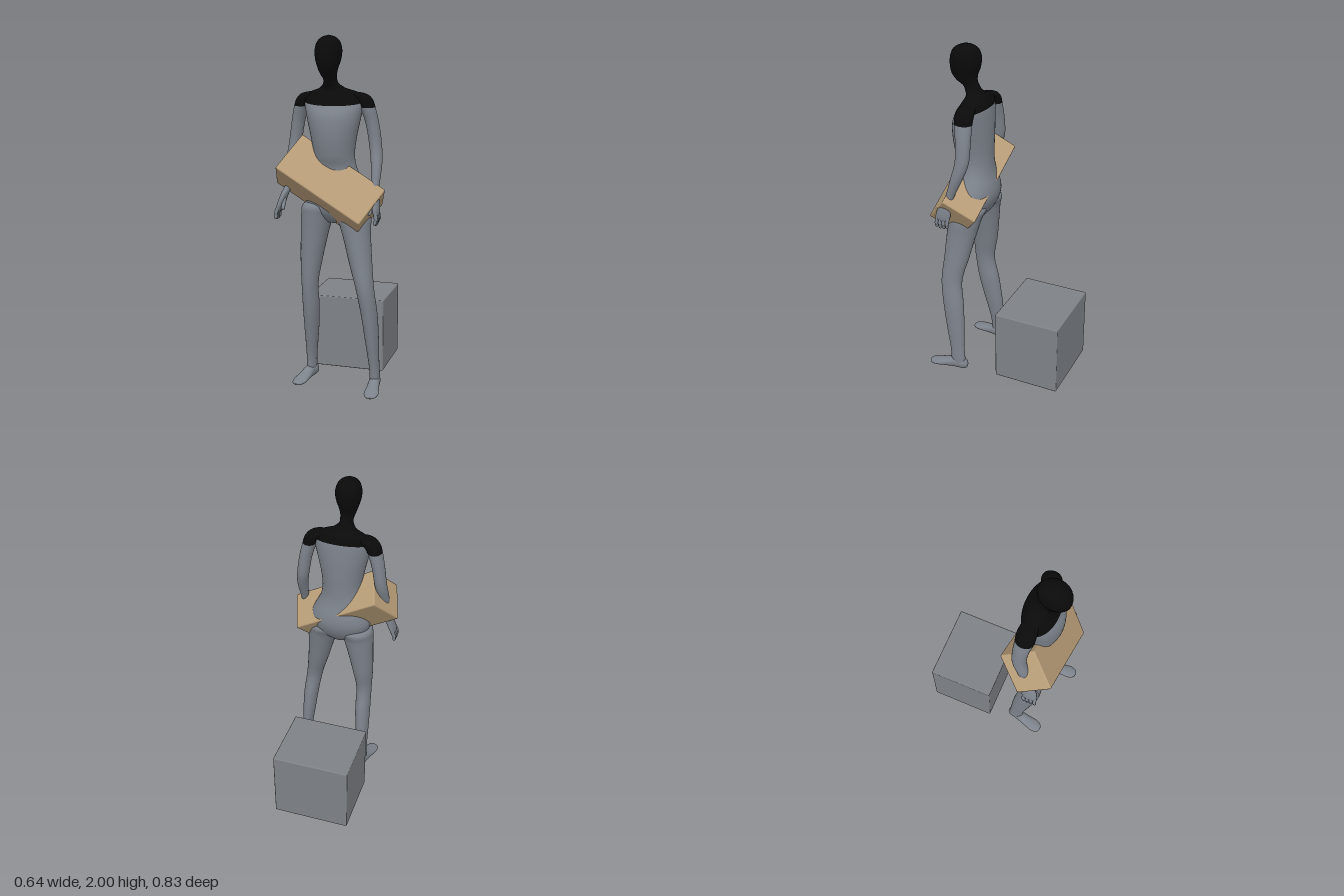
import * as THREE from 'three';
import { RoundedBoxGeometry } from 'three/addons/geometries/RoundedBoxGeometry.js';

const mat = (name, color) => {
  const m = new THREE.MeshStandardMaterial({ color });
  m.name = name;
  return m;
};

// Smooth loft through elliptical sections [x, y, z, rx, rz], listed top to bottom.
function loft(sections, from = 0, to = sections.length - 1, warp = null, seg = 28, sub = 6) {
  const spline = (pts) => new THREE.CatmullRomCurve3(pts, false, 'catmullrom', 0.5);
  const centre = spline(sections.map((s) => new THREE.Vector3(s[0], s[1], s[2])));
  const radii = spline(sections.map((s) => new THREE.Vector3(s[3], s[4], 0)));
  const pos = [], idx = [], rows = (to - from) * sub;
  for (let i = 0; i <= rows; i++) {
    const t = Math.min(1, (from + i / sub) / (sections.length - 1));
    const c = centre.getPoint(t), r = radii.getPoint(t);
    for (let j = 0; j < seg; j++) {
      const a = (j / seg) * Math.PI * 2;
      const p = new THREE.Vector3(
        c.x + Math.max(r.x, 0.0005) * Math.cos(a), c.y, c.z + Math.max(r.y, 0.0005) * Math.sin(a));
      if (warp) warp(p, c);
      pos.push(p.x, p.y, p.z);
      if (i < rows) {
        const p0 = i * seg + j, p1 = i * seg + (j + 1) % seg;
        idx.push(p0, p1, p0 + seg, p1, p1 + seg, p0 + seg);
      }
    }
  }
  const g = new THREE.BufferGeometry();
  g.setAttribute('position', new THREE.Float32BufferAttribute(pos, 3));
  g.setIndex(idx);
  g.computeVertexNormals();
  return g;
}

export function createModel() {
  const model = new THREE.Group();
  const grey = mat('bodyGrey', 0x7d838c);
  const black = mat('hoodBlack', 0x0a0a0a);
  const tan = mat('boxTan', 0xb89d78);
  const stone = mat('cubeGrey', 0x7e8287);

  const add = (name, geo, material, parent = model) => {
    const m = new THREE.Mesh(geo, material);
    m.name = name;
    parent.add(m);
    return m;
  };
  const capsule = (name, a, b, r, parent) => {
    const p = new THREE.Vector3(...a), q = new THREE.Vector3(...b), d = q.clone().sub(p);
    const m = add(name, new THREE.CapsuleGeometry(r, d.length(), 4, 10), grey, parent);
    m.position.copy(p).add(q).multiplyScalar(0.5);
    m.quaternion.setFromUnitVectors(new THREE.Vector3(0, 1, 0), d.normalize());
  };

  // Cube standing behind the figure
  add('cube', new RoundedBoxGeometry(0.462, 0.44, 0.4, 2, 0.007), stone).position.set(0.016, 0.23, -0.22);

  // Tilted box around the hips
  const box = add('tiltedBox', new RoundedBoxGeometry(0.563, 0.252, 0.218, 2, 0.008), tan);
  const u = new THREE.Vector3(0.485, -0.285, 0.03).normalize();
  const w = new THREE.Vector3(-0.06, -0.115, -0.175);
  w.addScaledVector(u, -w.dot(u)).normalize();
  const v = w.clone().cross(u);
  box.quaternion.setFromRotationMatrix(new THREE.Matrix4().makeBasis(u, v, w));
  box.position.set(-0.0025, 1.17, 0.2375);

  // Head, neck and torso; the colour border sits on section 11 and rises to the back
  const trunk = [
    [0, 2.0, 0.255, 0.001, 0.001],
    [0, 1.99, 0.257, 0.034, 0.042],
    [0, 1.965, 0.26, 0.061, 0.077],
    [0, 1.92, 0.263, 0.073, 0.092],
    [0, 1.87, 0.268, 0.068, 0.09],
    [0, 1.825, 0.272, 0.054, 0.078],
    [0, 1.79, 0.26, 0.043, 0.064],
    [0, 1.765, 0.235, 0.037, 0.051],
    [0, 1.74, 0.22, 0.042, 0.05],
    [0.004, 1.712, 0.2, 0.075, 0.056],
    [0.012, 1.685, 0.195, 0.145, 0.07],
    [0.014, 1.64, 0.204, 0.168, 0.096],
    [0.015, 1.55, 0.214, 0.152, 0.114],
    [0.015, 1.45, 0.215, 0.13, 0.116],
    [0.015, 1.35, 0.208, 0.116, 0.108],
    [0.015, 1.27, 0.194, 0.126, 0.1],
    [0.02, 1.17, 0.19, 0.168, 0.12],
    [0.02, 1.1, 0.195, 0.18, 0.122],
    [0.02, 1.03, 0.205, 0.15, 0.1],
    [0.02, 0.97, 0.21, 0.05, 0.05],
    [0.02, 0.96, 0.21, 0.001, 0.001],
  ];
  const tilt = (p, c) => { p.y += 0.2 * (c.z - p.z) * Math.exp(-(((c.y - 1.64) / 0.05) ** 2)); };
  add('headAndShoulders', loft(trunk, 0, 11, tilt, 40), black);
  add('torso', loft(trunk, 11, trunk.length - 1, tilt, 40), grey);

  // Arms and hands; side 1 is the left, -1 the right
  for (const side of [1, -1]) {
    const name = side > 0 ? 'left' : 'right';
    const lean = side > 0 ? 0 : 0.035, back = side > 0 ? 0 : -0.02;
    const X = (x) => (side > 0 ? x : 0.02 - x);
    const hx = (y, x) => X(x + lean * Math.max(0, (1.18 - y) / 0.18));
    const arm = [
      [0.1, 1.698, 0.19, 0.002, 0.002],
      [0.145, 1.683, 0.188, 0.045, 0.045],
      [0.18, 1.652, 0.186, 0.047, 0.054],
      [0.2, 1.61, 0.185, 0.042, 0.053],
      [0.225, 1.52, 0.176, 0.037, 0.045],
      [0.244, 1.4, 0.176, 0.035, 0.041],
      [0.257, 1.3, 0.205, 0.031, 0.036],
      [0.262, 1.18, 0.25 + back, 0.022, 0.026],
      [0.27, 1.12, 0.275 + back, 0.021, 0.038],
      [0.278, 1.06, 0.288 + back, 0.019, 0.046],
      [0.28, 1.03, 0.29 + back, 0.012, 0.038],
      [0.28, 1.02, 0.29 + back, 0.001, 0.001],
    ].map(([x, y, z, a, b]) => [hx(y, x), y, z, a, b]);
    add(name + 'Shoulder', loft(arm, 0, 3), black);
    add(name + 'Arm', loft(arm, 3), grey);
    const hand = new THREE.Group();
    hand.name = name + 'Fingers';
    model.add(hand);
    for (let i = 0; i < 4; i++) {
      const z = 0.257 + back + i * 0.022, tip = 0.982 + 0.006 * Math.abs(i - 1.5);
      capsule('finger', [hx(1.05, 0.28), 1.05, z], [hx(1.01, 0.287), 1.012, z + 0.004], 0.011, hand);
      capsule('fingerTip', [hx(1.01, 0.287), 1.012, z + 0.004], [hx(0.98, 0.28), tip, z + 0.006], 0.0095, hand);
    }
    capsule('thumb', [hx(1.11, 0.262), 1.105, 0.29 + back], [hx(1.04, 0.25), 1.045, 0.325 + back], 0.011, hand);
  }

  // Legs
  const legs = {
    left: [
      [0.085, 1.1, 0.2, 0.06, 0.07],
      [0.11, 1.06, 0.207, 0.098, 0.108],
      [0.133, 1.0, 0.22, 0.096, 0.1],
      [0.154, 0.9, 0.236, 0.079, 0.09],
      [0.183, 0.75, 0.258, 0.064, 0.077],
      [0.215, 0.6, 0.279, 0.05, 0.065],
      [0.236, 0.45, 0.262, 0.045, 0.065],
      [0.248, 0.3, 0.246, 0.038, 0.058],
      [0.258, 0.15, 0.232, 0.029, 0.046],
      [0.262, 0.06, 0.225, 0.028, 0.045],
      [0.262, 0.03, 0.225, 0.02, 0.035],
    ],
    right: [
      [-0.045, 1.1, 0.195, 0.06, 0.07],
      [-0.07, 1.06, 0.2, 0.098, 0.108],
      [-0.085, 1.0, 0.207, 0.092, 0.1],
      [-0.1, 0.9, 0.21, 0.079, 0.09],
      [-0.117, 0.75, 0.216, 0.063, 0.077],
      [-0.126, 0.6, 0.225, 0.047, 0.062],
      [-0.128, 0.45, 0.2, 0.046, 0.066],
      [-0.134, 0.3, 0.173, 0.04, 0.058],
      [-0.142, 0.15, 0.15, 0.03, 0.046],
      [-0.145, 0.06, 0.143, 0.028, 0.045],
      [-0.145, 0.03, 0.143, 0.02, 0.035],
    ],
  };
  // Foot from toe to heel: length along y and height along -z before turning
  const foot = [
    [0, 0.197, -0.02, 0.001, 0.001],
    [0, 0.188, -0.02, 0.026, 0.011],
    [0, 0.15, -0.024, 0.041, 0.018],
    [0, 0.09, -0.033, 0.036, 0.027],
    [0, 0.03, -0.045, 0.031, 0.039],
    [0, -0.025, -0.042, 0.028, 0.036],
    [0, -0.046, -0.038, 0.015, 0.02],
    [0, -0.05, -0.038, 0.001, 0.001],
  ];
  for (const [name, yaw, fx, fz] of [['left', 0.1, 0.26, 0.215], ['right', -0.2, -0.143, 0.138]]) {
    add(name + 'Leg', loft(legs[name]), grey);
    const f = add(name + 'Foot', loft(foot).rotateX(Math.PI / 2), grey);
    f.rotation.y = yaw;
    f.position.set(fx, -0.002, fz);
  }
  return model;
}
